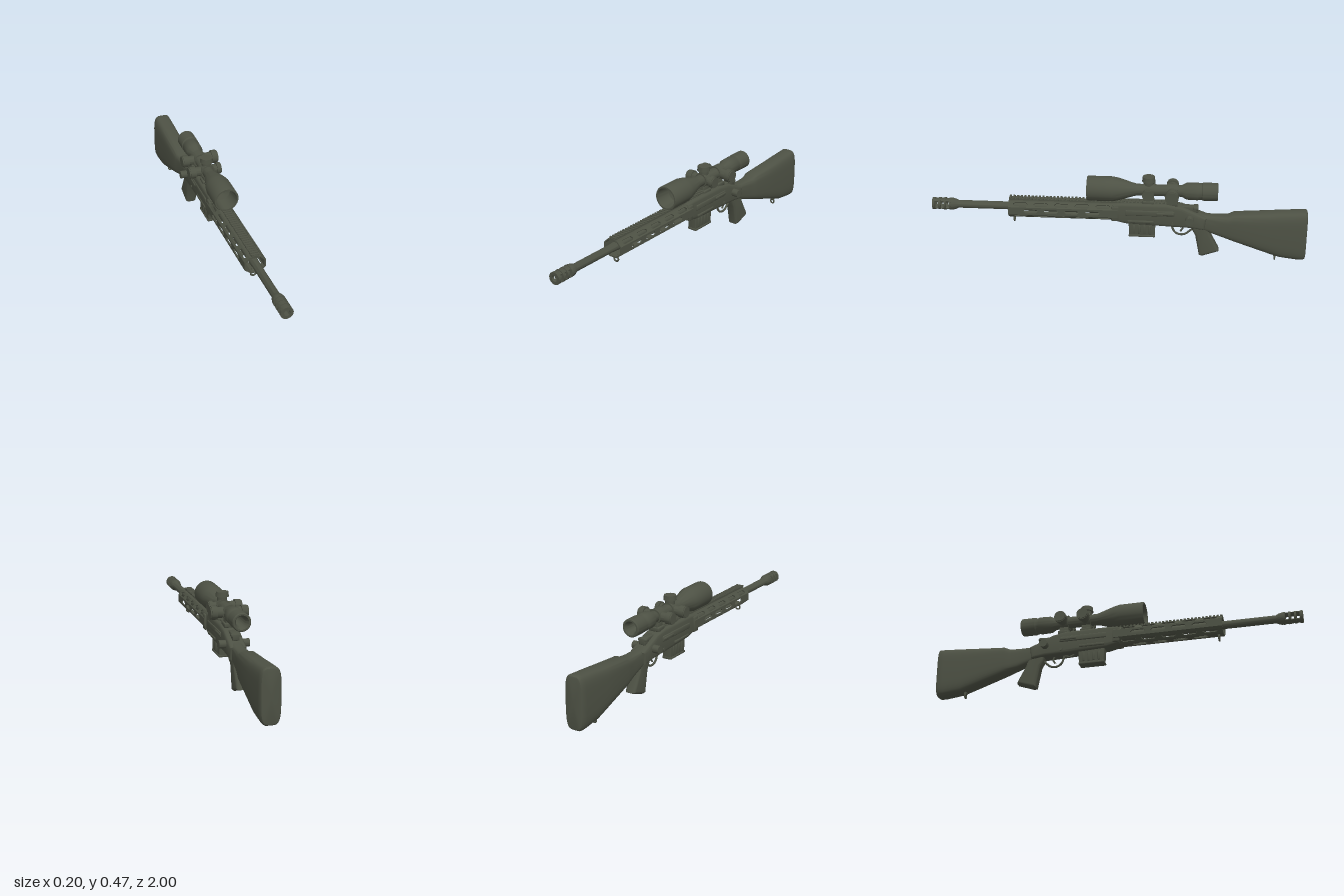
import * as THREE from 'three';
import { toCreasedNormals, mergeGeometries } from 'three/addons/utils/BufferGeometryUtils.js';
import { RoundedBoxGeometry } from 'three/addons/geometries/RoundedBoxGeometry.js';

const olive = new THREE.MeshStandardMaterial({ color: 0x4d5144 });
olive.name = 'olive metal';

// Turned part along z; points are [z, radius] from back to front
const turned = (pts, y, sides = 32) => new THREE.LatheGeometry(pts.map(([z, r]) => new THREE.Vector2(r, z)), sides)
  .rotateX(Math.PI / 2).translate(0, y, 0);

// Side outline of [z, y] points, extruded across x with a bevel
function profile(pts, halfWidth, bevel, holes = []) {
  const shape = new THREE.Shape(pts.map(p => new THREE.Vector2(...p)));
  holes.forEach(h => shape.holes.push(new THREE.Path(h.map(p => new THREE.Vector2(...p)))));
  const depth = 2 * (halfWidth - bevel);
  return new THREE.ExtrudeGeometry(shape, { depth, bevelEnabled: bevel > 0, bevelSize: bevel, bevelOffset: -bevel, bevelThickness: bevel, bevelSegments: 3 })
    .translate(0, 0, -depth / 2).rotateY(-Math.PI / 2);
}

const box = (w, h, d, x, y, z, r = 0.003) => new RoundedBoxGeometry(w, h, d, 2, r).translate(x, y, z);

// Cylinder lying across x from x0 to x1
const crossPin = (x0, x1, r, y, z, sides = 24) => new THREE.CylinderGeometry(r, r, x1 - x0, sides)
  .rotateZ(Math.PI / 2).translate((x0 + x1) / 2, y, z);

// Loft along z; each section is [z, bottom, top, half width]
function loft(sections, n = 32) {
  const pos = [], idx = [];
  const soft = v => Math.sign(v) * Math.sqrt(Math.abs(v));
  const ring = ([z, b, t, w]) => {
    for (let i = 0; i < n; i++) {
      const a = i / n * Math.PI * 2;
      pos.push(w * soft(Math.cos(a)), (b + t) / 2 + (t - b) / 2 * soft(Math.sin(a)), z);
    }
  };
  sections.forEach(ring);
  for (let j = 0; j < sections.length - 1; j++) for (let i = 0; i < n; i++) {
    const a = j * n + i, b = j * n + (i + 1) % n;
    idx.push(a, a + n, b, b, a + n, b + n);
  }
  [0, sections.length - 1].forEach((j, back) => {
    const c = pos.length / 3, [z, b, t] = sections[j];
    pos.push(0, (b + t) / 2, z);
    for (let i = 0; i < n; i++) {
      const p = j * n + i, q = j * n + (i + 1) % n;
      idx.push(c, ...(back ? [q, p] : [p, q]));
    }
  });
  const g = new THREE.BufferGeometry();
  g.setAttribute('position', new THREE.Float32BufferAttribute(pos, 3));
  g.setIndex(idx);
  return g;
}

// Ring or ring sector in the xy plane with thickness along z
function sector(r0, r1, a0, a1, z, depth, y) {
  const s = new THREE.Shape();
  s.absarc(0, 0, r1, a0, a1, false);
  if (a1 - a0 > 6) {
    s.holes.push(new THREE.Path().absarc(0, 0, r0, 0, Math.PI * 2, true));
  } else s.absarc(0, 0, r0, a1, a0, true);
  return new THREE.ExtrudeGeometry(s, { depth, bevelEnabled: false, curveSegments: 24 }).translate(0, y, z);
}

// Slotted panel running along z between two corners of the handguard outline
function panel([ax, ay], [bx, by], z0, z1, slots) {
  const w = Math.hypot(bx - ax, by - ay), h = Math.min(0.011, w * 0.3);
  const s = new THREE.Shape([[0, z0], [w, z0], [w, z1], [0, z1]].map(p => new THREE.Vector2(...p)));
  slots.forEach(z => s.holes.push(new THREE.Path([[-h, -0.03], [0, -0.04], [h, -0.03], [h, 0.03], [0, 0.04], [-h, 0.03]]
    .map(([u, v]) => new THREE.Vector2(w / 2 + u, z + v)))));
  const u = new THREE.Vector3((bx - ax) / w, (by - ay) / w, 0), v = new THREE.Vector3(0, 0, 1);
  const m = new THREE.Matrix4().makeBasis(u, v, u.clone().cross(v)).setPosition(ax, ay, 0);
  return new THREE.ExtrudeGeometry(s, { depth: 0.007, bevelEnabled: false }).translate(0, 0, -0.007).applyMatrix4(m);
}

const bent = (pts, r) => new THREE.TubeGeometry(new THREE.CatmullRomCurve3(pts.map(([z, y]) => new THREE.Vector3(0, y, z))), 32, r, 8);

export function createModel() {
  const root = new THREE.Group(), body = new THREE.Group();
  root.name = 'rifle';
  body.name = 'assembly';
  body.position.x = -0.003;
  root.add(body);
  const add = (name, ...geos) => {
    const plain = geos.map(g => {
      const c = toCreasedNormals(g, 0.6);
      c.deleteAttribute('uv');
      c.clearGroups();
      return c;
    });
    const m = new THREE.Mesh(mergeGeometries(plain), olive);
    m.name = name;
    body.add(m);
  };
  const bore = 0.272;

  // Barrel and ported muzzle brake
  add('barrel', turned([[0, 0], [0, 0.026], [0.55, 0.024], [0.6, 0.021], [0.86, 0.021], [0.875, 0.028], [0.89, 0.032],
    [0.9, 0.032], [0.9, 0.015], [0.89, 0]], bore));
  const brake = [];
  for (let i = 0; i < 4; i++) {
    brake.push(sector(0.016, 0.033, 0, Math.PI * 2, 0.898 + i * 0.029, i === 3 ? 0.015 : 0.011, bore));
    if (i < 3) for (const a of [0.75, 0.75 + Math.PI]) brake.push(sector(0.016, 0.030, a, a + 1.64, 0.905 + i * 0.029, 0.025, bore));
  }
  add('muzzleBrake', ...brake);

  // Octagonal slotted handguard
  const outline = [[0.022, 0.218], [0.056, 0.245], [0.056, 0.288], [0.03, 0.313], [-0.03, 0.313], [-0.056, 0.288], [-0.056, 0.245], [-0.022, 0.218]];
  const even = [0.08, 0.19, 0.30, 0.41, 0.52], odd = [0.135, 0.245, 0.355, 0.465];
  add('handguard', ...outline.map((p, i) => panel(p, outline[(i + 1) % 8], 0.0, 0.585, i === 3 ? [] : i % 2 ? odd : even)));

  // Top rail with cross teeth
  const teeth = [box(0.034, 0.012, 0.88, 0, 0.315, 0.145, 0.002)];
  for (let z = 0.578; z > -0.28; z -= 0.0195) teeth.push(new THREE.BoxGeometry(0.042, 0.008, 0.011).translate(0, 0.322, z));
  add('topRail', ...teeth);

  // Receiver
  add('receiver', profile([[0.03, 0.222], [0.03, 0.312], [-0.02, 0.32], [-0.26, 0.32], [-0.34, 0.305], [-0.43, 0.265],
    [-0.47, 0.25], [-0.46, 0.18], [-0.38, 0.19], [-0.25, 0.195], [-0.04, 0.205]], 0.044, 0.014));
  const sides = [];
  for (const s of [-1, 1]) {
    sides.push(box(0.012, 0.03, 0.26, s * 0.043, 0.272, -0.17, 0.005));
    sides.push(box(0.014, 0.085, 0.04, s * 0.046, 0.265, 0.015, 0.006));
    sides.push(box(0.01, 0.014, 0.14, s * 0.044, 0.222, -0.12, 0.004));
    sides.push(box(0.01, 0.014, 0.09, s * 0.049, 0.272, -0.25, 0.004));
    sides.push(crossPin(s * 0.055 - 0.025, s * 0.055 + 0.025, 0.021, 0.246, -0.38));
    sides.push(crossPin(s * 0.04 - 0.008, s * 0.04 + 0.008, 0.008, 0.215, -0.29, 12));
  }
  add('receiverSideDetails', ...sides);
  add('rearSight', box(0.036, 0.036, 0.09, 0, 0.288, -0.38, 0.004), box(0.05, 0.014, 0.025, 0, 0.297, -0.412));

  // Magazine with side ribs
  const mag = [profile([[-0.055, 0.215], [-0.2, 0.215], [-0.195, 0.122], [-0.06, 0.132]], 0.025, 0.004)];
  for (let i = 0; i < 4; i++) mag.push(box(0.055, 0.05, 0.012, 0, 0.165, -0.085 - i * 0.028));
  mag.push(box(0.056, 0.012, 0.14, 0, 0.129, -0.127));
  add('magazine', ...mag);

  // Trigger and guard
  add('triggerGuard', bent([[-0.225, 0.2], [-0.25, 0.185], [-0.29, 0.195]], 0.006),
    bent([[-0.28, 0.2], [-0.3, 0.15], [-0.325, 0.135], [-0.355, 0.137], [-0.385, 0.16], [-0.41, 0.185]], 0.006));
  add('trigger', bent([[-0.335, 0.2], [-0.345, 0.175], [-0.332, 0.152]], 0.005));

  // Pistol grip
  add('grip', profile([[-0.39, 0.2], [-0.395, 0.17], [-0.412, 0.14], [-0.435, 0.022], [-0.455, 0.02], [-0.54, 0.05],
    [-0.535, 0.065], [-0.49, 0.15], [-0.48, 0.2]], 0.03, 0.014));

  // Shoulder stock and butt pad
  add('stock', loft([[-0.40, 0.195, 0.272, 0.032], [-0.47, 0.166, 0.256, 0.034], [-0.54, 0.14, 0.255, 0.037], [-0.585, 0.125, 0.257, 0.044],
    [-0.615, 0.115, 0.27, 0.05], [-0.8, 0.05, 0.284, 0.052], [-0.86, 0.03, 0.289, 0.053], [-0.96, 0.017, 0.296, 0.053],
    [-0.988, 0.017, 0.298, 0.052], [-0.997, 0.023, 0.293, 0.047], [-1.0, 0.033, 0.283, 0.038]]));

  // Sling swivels
  const swivel = (y, z, r) => [new THREE.TorusGeometry(r, 0.0045, 8, 20).translate(0, y, z), crossPin(-0.01, 0.01, 0.008, y + r + 0.006, z, 12)];
  add('frontSwivel', ...swivel(0.2, 0.56, 0.014));
  add('rearSwivel', ...swivel(0.0155, -0.84, 0.011));

  // Hollow scope tube
  const sight = 0.389;
  add('scope', turned([[-0.5, 0.025], [-0.525, 0.036], [-0.525, 0.044], [-0.52, 0.048], [-0.445, 0.048], [-0.44, 0.044],
    [-0.425, 0.044], [-0.42, 0.047], [-0.36, 0.045], [-0.335, 0.031], [-0.1, 0.031], [-0.08, 0.036], [0.0, 0.06],
    [0.03, 0.066], [0.16, 0.066], [0.165, 0.064], [0.165, 0.056], [0.13, 0.053], [0.08, 0.048], [0.07, 0.025], [-0.5, 0.025]], sight, 40));

  // Adjustment knobs: hubs with wider caps, kept clear of the sight line
  const knob = (x0, x1, r, z) => {
    const s = Math.sign(x1), m = x0 + (x1 - x0) * 0.55;
    return [crossPin(Math.min(x0, m), Math.max(x0, m), r * 0.78, sight - 0.002, z),
      crossPin(Math.min(m, x1), Math.max(m, x1) - (s > 0 ? 0.004 : 0), r, sight - 0.002, z),
      crossPin(x1 - 0.006, x1 + 0.002, r * 0.9, sight - 0.002, z)];
  };
  add('sideKnobs', ...knob(0.027, 0.076, 0.032, -0.16), ...knob(-0.027, -0.096, 0.032, -0.16),
    ...knob(0.027, 0.099, 0.036, -0.285), ...knob(-0.027, -0.094, 0.032, -0.285));
  add('topKnob', new THREE.CylinderGeometry(0.026, 0.026, 0.03, 24).translate(0, 0.43, -0.16),
    new THREE.CylinderGeometry(0.032, 0.035, 0.026, 24).translate(0, 0.453, -0.16));

  // Scope rings and clamps
  const mounts = [];
  for (const z of [-0.16, -0.285]) {
    mounts.push(sector(0.028, 0.039, 0, Math.PI * 2, z - 0.026, 0.052, sight));
    mounts.push(box(0.04, 0.04, 0.05, 0, 0.338, z), box(0.06, 0.024, 0.06, 0, 0.322, z, 0.005));
  }
  add('scopeMounts', ...mounts);

  return root;
}
